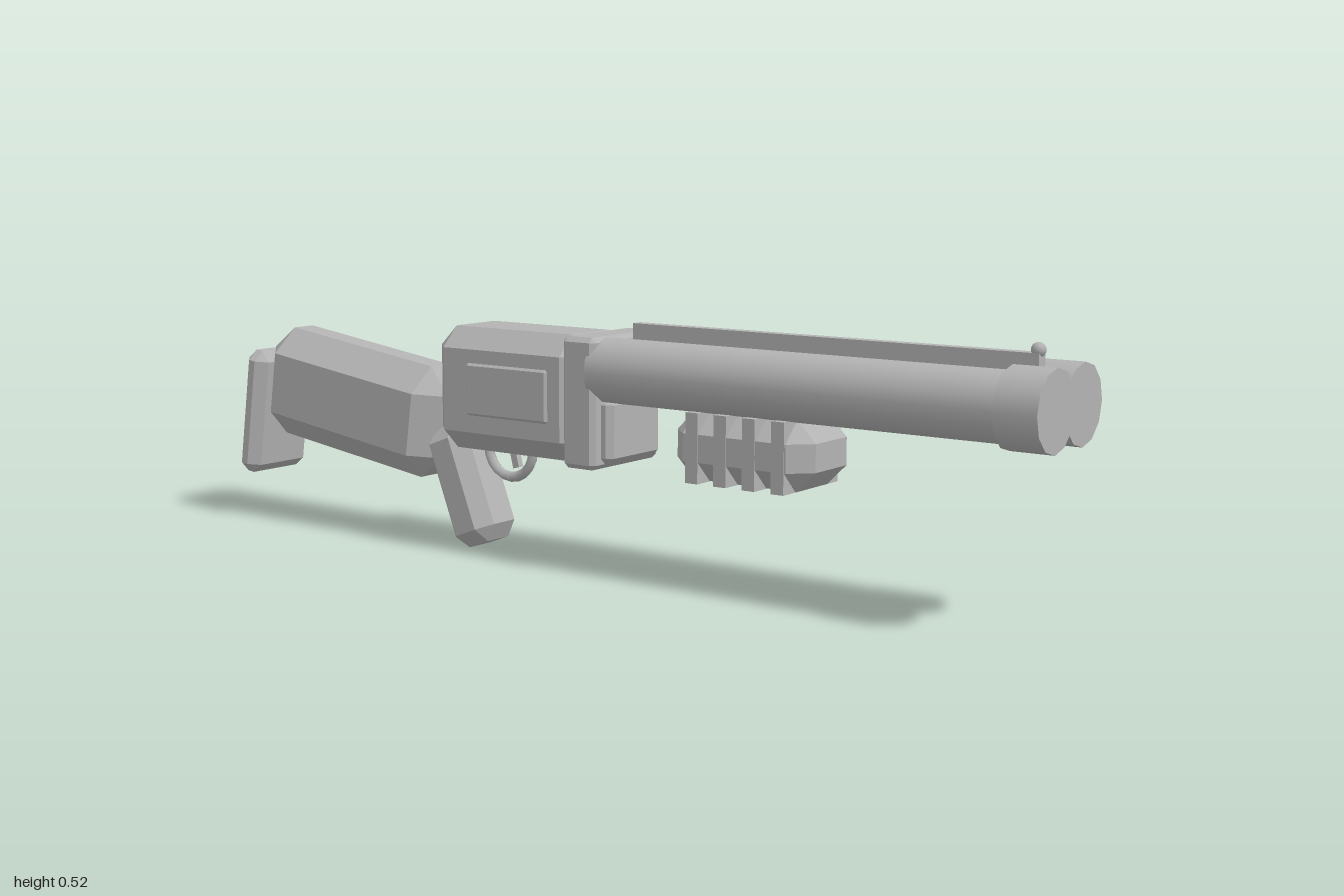
import * as THREE from 'three';
import { ConvexGeometry } from 'three/addons/geometries/ConvexGeometry.js';

// Box with every edge cut at 45 degrees and triangular corners
function chamferBox(w, h, d, c) {
  const pts = [];
  for (const sx of [-1, 1]) for (const sy of [-1, 1]) for (const sz of [-1, 1]) {
    const x = w / 2, y = h / 2, z = d / 2;
    pts.push(new THREE.Vector3(sx * x, sy * (y - c), sz * (z - c)));
    pts.push(new THREE.Vector3(sx * (x - c), sy * y, sz * (z - c)));
    pts.push(new THREE.Vector3(sx * (x - c), sy * (y - c), sz * z));
  }
  return new ConvexGeometry(pts);
}

export function createModel() {
  const group = new THREE.Group();
  const grey = new THREE.MeshStandardMaterial({ color: 0xb3b3b3 });
  grey.name = 'grey metal';

  function add(name, geometry, x, y, z, tilt = 0) {
    const mesh = new THREE.Mesh(geometry, grey);
    mesh.name = name;
    mesh.position.set(x, y, z);
    mesh.rotation.x = tilt;
    group.add(mesh);
    return mesh;
  }
  const box = (w, h, d) => new THREE.BoxGeometry(w, h, d);
  const rod = (r, length, sides) => new THREE.CylinderGeometry(r, r, length, sides).rotateX(Math.PI / 2);

  // Twin barrels with muzzle collars, and the side plates of the receiver
  for (const [side, s] of [['left', 1], ['right', -1]]) {
    add(side + 'Barrel', rod(0.065, 0.9, 16), s * 0.055, 0.409, 0.49);
    add(side + 'MuzzleCollar', rod(0.075, 0.083, 12), s * 0.055, 0.409, 0.9585);
    add(side + 'SidePlate', chamferBox(0.02, 0.11, 0.215, 0.006), s * 0.097, 0.35, -0.172);
  }

  // Sighting rib and bead
  add('sightRib', box(0.025, 0.055, 0.865), 0, 0.4725, 0.5125);
  add('sightBead', new THREE.SphereGeometry(0.0135, 10, 8), 0, 0.505, 0.938);

  // Fore grip with square ribs that fill its chamfered edges
  add('foreGrip', chamferBox(0.19, 0.134, 0.31, 0.04), 0, 0.281, 0.375);
  for (let i = 0; i < 4; i++) {
    add('foreGripRib', box(0.193, 0.136, 0.028), 0, 0.281, 0.473 - i * 0.064);
  }

  // Receiver, its front flange and the lower block ahead of it
  add('receiver', chamferBox(0.204, 0.256, 0.39, 0.042), 0, 0.346, -0.188);
  add('receiverFlange', chamferBox(0.22, 0.262, 0.08, 0.01), 0, 0.345, 0.016);
  add('lowerBlock', chamferBox(0.17, 0.13, 0.06, 0.012), 0, 0.29, 0.05);

  // Trigger guard and trigger
  const ring = new THREE.TorusGeometry(0.06, 0.011, 6, 20).rotateY(Math.PI / 2);
  add('triggerGuard', ring, 0, 0.216, -0.247);
  add('trigger', box(0.014, 0.06, 0.016), 0, 0.207, -0.235, -0.25);

  // Raked pistol grip, shoulder stock and butt pad
  add('pistolGrip', chamferBox(0.126, 0.262, 0.115, 0.03), 0, 0.131, -0.357, -0.37);
  add('stock', chamferBox(0.166, 0.245, 0.527, 0.055), 0, 0.285, -0.667, 0.14);
  add('buttPad', chamferBox(0.176, 0.284, 0.062, 0.022), 0, 0.241, -0.952, 0.14);

  return group;
}
